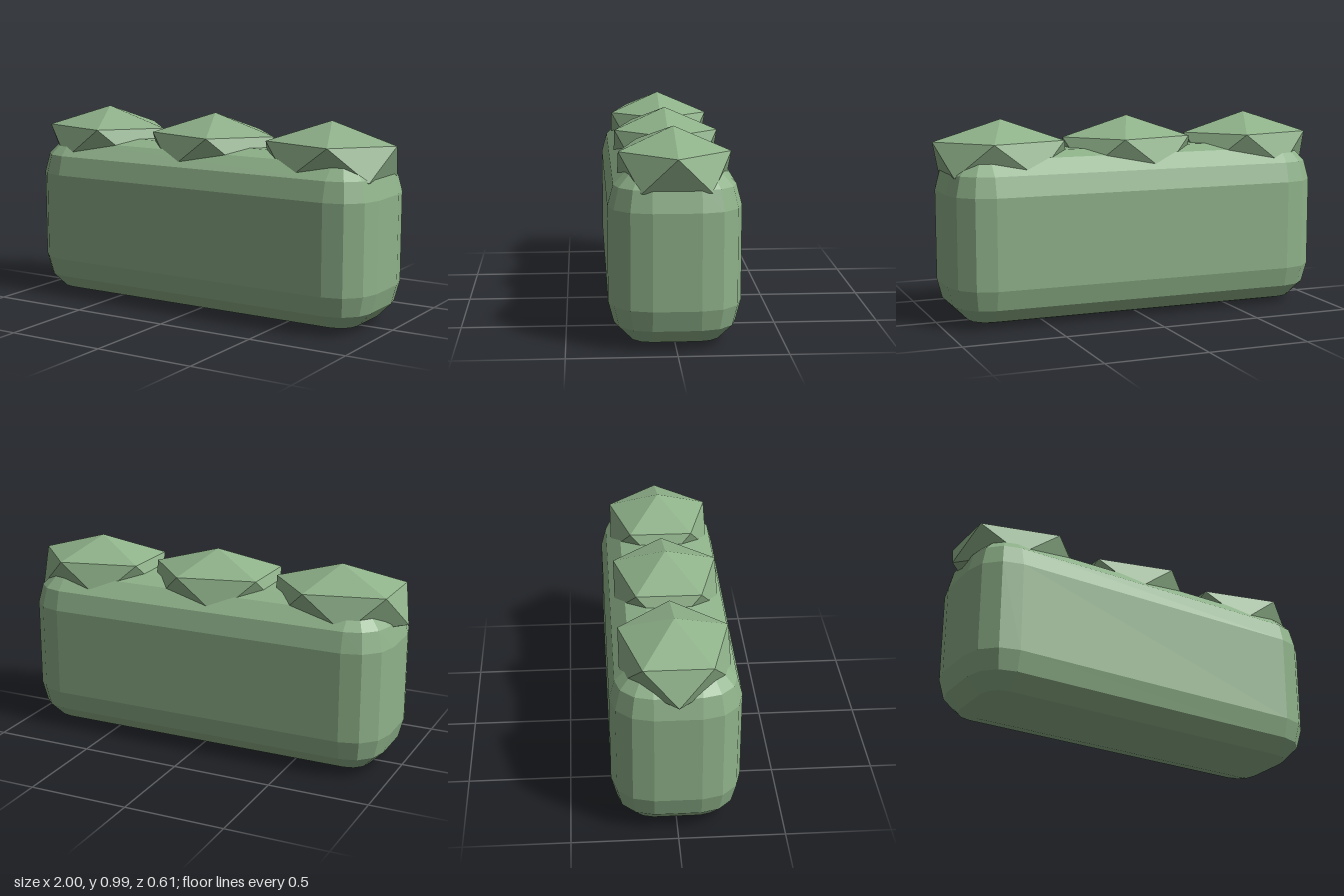
import * as THREE from 'three';

const R = 0.195; // edge rounding of the body

// Box with edges rounded in three flat steps, built from stacked rounded-rectangle rings
function roundedBody(hx, h, hz) {
  const rings = [];
  for (let i = 0; i < 8; i++) {
    const top = i > 3;
    const a = ((top ? i - 4 : i - 3) * Math.PI) / 6;
    const y = (top ? h - R : R) + R * Math.sin(a);
    const r = R * Math.cos(a);
    const ring = [];
    for (let c = 0; c < 4; c++) {
      const sx = c === 0 || c === 3 ? 1 : -1;
      const sz = c < 2 ? 1 : -1;
      for (let k = 0; k < 4; k++) {
        const t = (c * Math.PI) / 2 + (k * Math.PI) / 6;
        ring.push([sx * (hx - R) + r * Math.cos(t), y, sz * (hz - R) + r * Math.sin(t)]);
      }
    }
    rings.push(ring);
  }
  const pos = [];
  const tri = (a, b, c) => pos.push(...a, ...b, ...c);
  for (let i = 0; i < 7; i++) {
    for (let j = 0; j < 16; j++) {
      const k = (j + 1) % 16;
      const [a, b, c, d] = [rings[i][j], rings[i][k], rings[i + 1][k], rings[i + 1][j]];
      // the pole rings collapse at each corner, so skip empty triangles there
      if (i > 0 || j % 4 === 3) tri(a, c, b);
      if (i < 6 || j % 4 === 3) tri(a, d, c);
    }
  }
  // flat bottom and top
  const b = [0, 4, 8, 12].map((j) => rings[0][j]);
  const t = [0, 4, 8, 12].map((j) => rings[7][j]);
  tri(b[0], b[1], b[2]);
  tri(b[0], b[2], b[3]);
  tri(t[0], t[2], t[1]);
  tri(t[0], t[3], t[2]);
  const geo = new THREE.BufferGeometry();
  geo.setAttribute('position', new THREE.Float32BufferAttribute(pos, 3));
  geo.computeVertexNormals();
  return geo;
}

export function createModel() {
  const group = new THREE.Group();
  group.name = 'hedge';
  const leafGreen = new THREE.MeshStandardMaterial({ color: 0x8fb28a, flatShading: true });
  leafGreen.name = 'leaf green';

  const body = new THREE.Mesh(roundedBody(0.965, 0.835, 0.305), leafGreen);
  body.name = 'hedgeBody';
  group.add(body);

  // Flattened icosahedron tufts, standing on a vertex with a ring point towards +x
  const tuftGeo = new THREE.IcosahedronGeometry(1, 0);
  tuftGeo.rotateZ(-Math.atan(2 / (1 + Math.sqrt(5))));
  tuftGeo.scale(0.381, 0.181, 0.3);
  [-0.659, 0, 0.659].forEach((x, i) => {
    const tuft = new THREE.Mesh(tuftGeo, leafGreen);
    tuft.name = `leafTuft${i + 1}`;
    tuft.position.set(x, 0.804, 0);
    group.add(tuft);
  });
  return group;
}
